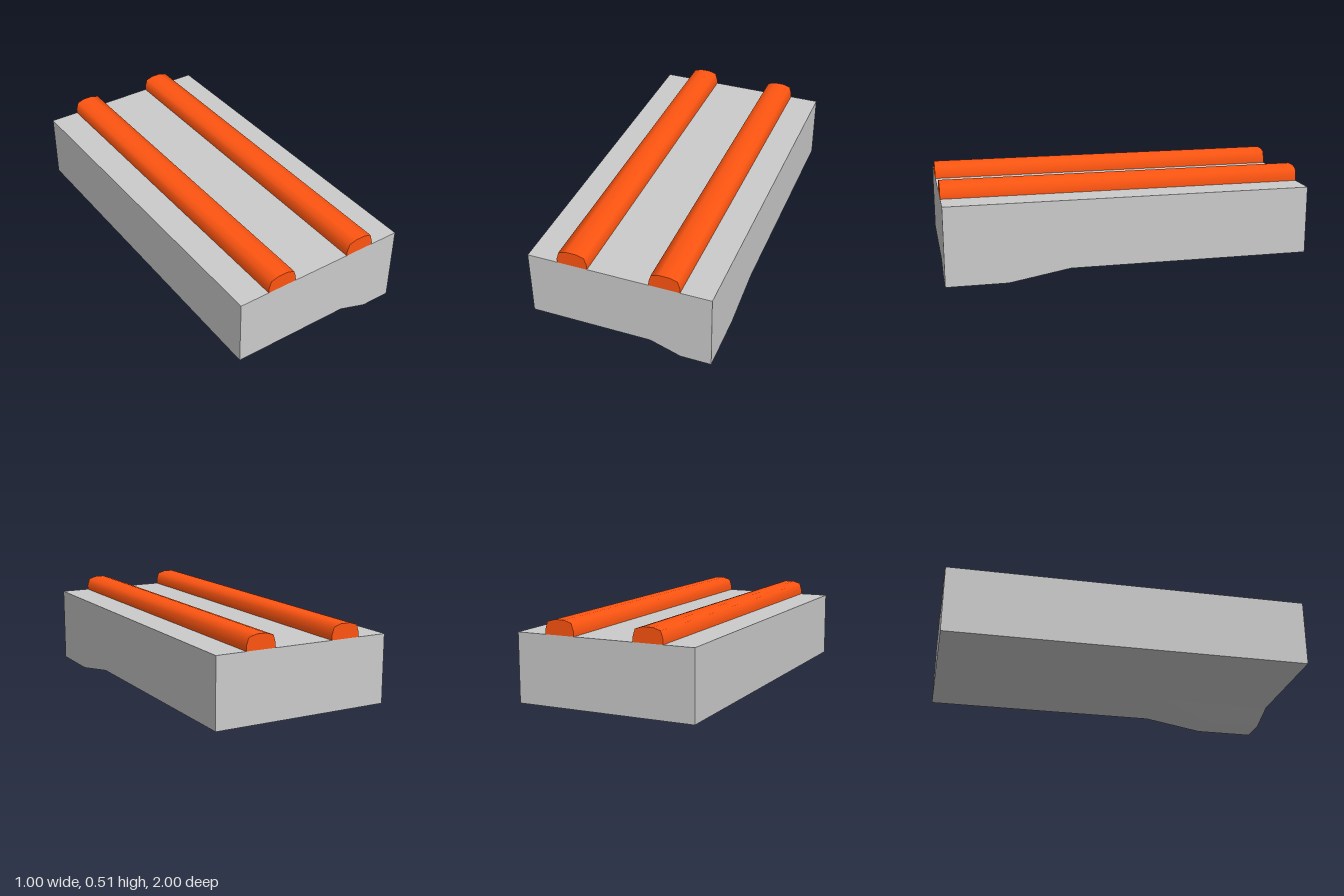
import * as THREE from 'three';
import { toCreasedNormals } from 'three/addons/utils/BufferGeometryUtils.js';

const TOP = 0.433, BASE = 0.058;

// Slab whose underside drops to the ground at its front left corner
function makeSlab() {
  const geometry = new THREE.BoxGeometry(1, TOP - BASE, 2, 6, 1, 6);
  geometry.translate(0, (TOP + BASE) / 2, 0);
  const p = geometry.attributes.position;
  for (let i = 0; i < p.count; i++) {
    if (p.getY(i) < 0.1 && p.getX(i) > 0.3 && p.getZ(i) > 0.6) p.setY(i, 0);
  }
  geometry.computeVertexNormals();
  const slab = new THREE.Mesh(
    geometry,
    new THREE.MeshStandardMaterial({ color: 0xcccccc, flatShading: true })
  );
  slab.name = 'slab';
  return slab;
}

// Rounded rail section, extruded along the full length
function makeRailGeometry() {
  const half = [[0.083, 0], [0.083, 0.025], [0.07, 0.067], [0.027, 0.08]];
  const outline = [...half, ...half.map(([x, y]) => [-x, y]).reverse()];
  const shape = new THREE.Shape(outline.map(([x, y]) => new THREE.Vector2(x, y)));
  const geometry = new THREE.ExtrudeGeometry(shape, { depth: 2, bevelEnabled: false });
  geometry.translate(0, TOP, -1);
  return toCreasedNormals(geometry, 1.2);
}

export function createModel() {
  const model = new THREE.Group();
  model.name = 'railedSlab';
  model.add(makeSlab());

  // Pair of rails on top
  const railGeometry = makeRailGeometry();
  const orange = new THREE.MeshStandardMaterial({ color: 0xff5511 });
  for (const [name, x] of [['leftRail', 0.25], ['rightRail', -0.25]]) {
    const rail = new THREE.Mesh(railGeometry, orange);
    rail.name = name;
    rail.position.x = x;
    model.add(rail);
  }
  return model;
}
